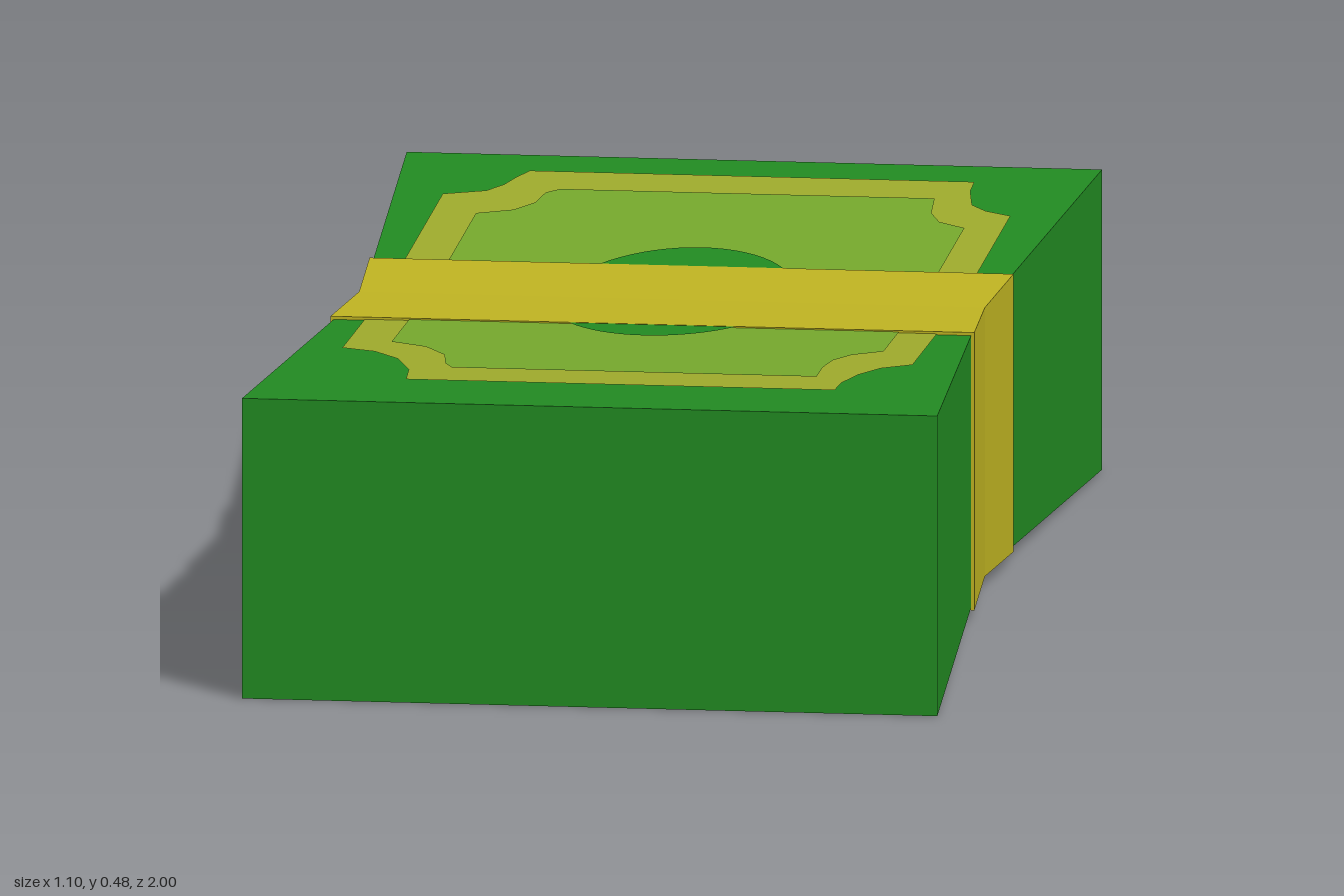
import * as THREE from 'three';

const material = (name, color) => {
  const m = new THREE.MeshStandardMaterial({ color });
  m.name = name;
  return m;
};

// Pinch of the stack: narrowest and thinnest at z = 0
const halfWidth = (z) => 0.49 + 0.06 * Math.abs(z);
const halfHeight = (z) => 0.21 + 0.03 * Math.abs(z);
const MID = 0.24;

// Box folded along z = 0 to follow the pinch, grown by a small offset
function pinchedBox(depth, offset) {
  const geo = new THREE.BoxGeometry(1, 1, depth, 1, 1, 2).toNonIndexed();
  const p = geo.attributes.position;
  for (let i = 0; i < p.count; i++) {
    const z = p.getZ(i);
    p.setX(i, Math.sign(p.getX(i)) * (halfWidth(z) + offset));
    p.setY(i, MID + Math.sign(p.getY(i)) * (halfHeight(z) + offset));
  }
  geo.computeVertexNormals();
  return geo;
}

// Flat printed shape from [x, z] points, laid on the sloping top
function printed(points, lift) {
  const shape = new THREE.Shape(points.map(([x, z]) => new THREE.Vector2(x, -z)));
  const geo = new THREE.ShapeGeometry(shape);
  geo.rotateX(-Math.PI / 2);
  const p = geo.attributes.position;
  for (let i = 0; i < p.count; i++) p.setY(i, MID + halfHeight(p.getZ(i)) + lift);
  geo.computeVertexNormals();
  return geo;
}

// Half of the central oval, running from under the band to its tip
function ovalHalf(side) {
  const points = [];
  const start = Math.asin(0.2 / 0.355);
  for (let i = 0; i <= 20; i++) {
    const a = start + (Math.PI - 2 * start) * (i / 20);
    points.push([0.187 * Math.cos(a), -0.015 + side * 0.355 * Math.sin(a)]);
  }
  return points;
}

export function createModel() {
  const group = new THREE.Group();
  group.name = 'banknoteBundle';
  const green = material('noteGreen', 0x228b22);
  const gold = material('bandGold', 0xc0b422);
  const olive = material('frameOlive', 0x9fab2c);
  const light = material('panelGreen', 0x76a92d);

  const add = (parent, name, geo, mat) => {
    const mesh = new THREE.Mesh(geo, mat);
    mesh.name = name;
    parent.add(mesh);
  };

  add(group, 'noteStack', pinchedBox(2, 0), green);
  add(group, 'paperBand', pinchedBox(0.475, 0.005), gold);

  // Outlines with scooped corners, each half starting under the band
  const frameBack = [
    [-0.455, -0.2], [-0.455, -0.71], [-0.39, -0.74], [-0.368, -0.785], [-0.355, -0.84], [-0.34, -0.885],
    [0.363, -0.885], [0.365, -0.82], [0.38, -0.725], [0.407, -0.685], [0.45, -0.655], [0.45, -0.2],
  ];
  const frameFront = [
    [0.45, 0.2], [0.45, 0.535], [0.405, 0.575], [0.378, 0.64], [0.362, 0.72], [0.36, 0.79],
    [-0.318, 0.79], [-0.325, 0.7], [-0.355, 0.6], [-0.4, 0.537], [-0.455, 0.51], [-0.455, 0.2],
  ];
  const panelBack = [
    [-0.385, -0.2], [-0.385, -0.575], [-0.33, -0.605], [-0.302, -0.66], [-0.295, -0.73], [-0.275, -0.757],
    [0.317, -0.757], [0.325, -0.655], [0.345, -0.595], [0.39, -0.557], [0.39, -0.2],
  ];
  const panelFront = [
    [0.39, 0.2], [0.39, 0.425], [0.345, 0.465], [0.322, 0.52], [0.315, 0.59], [0.317, 0.677],
    [-0.26, 0.677], [-0.275, 0.64], [-0.287, 0.56], [-0.325, 0.49], [-0.385, 0.45], [-0.385, 0.2],
  ];

  // Same print on the top and, turned over, on the underside
  for (const name of ['topPrint', 'bottomPrint']) {
    const print = new THREE.Group();
    print.name = name;
    add(print, 'frameBack', printed(frameBack, 0.0015), olive);
    add(print, 'frameFront', printed(frameFront, 0.0015), olive);
    add(print, 'panelBack', printed(panelBack, 0.003), light);
    add(print, 'panelFront', printed(panelFront, 0.003), light);
    add(print, 'ovalBack', printed(ovalHalf(-1), 0.0045), green);
    add(print, 'ovalFront', printed(ovalHalf(1), 0.0045), green);
    if (name === 'bottomPrint') {
      print.rotation.z = Math.PI;
      print.position.y = 2 * MID;
    }
    group.add(print);
  }
  return group;
}
